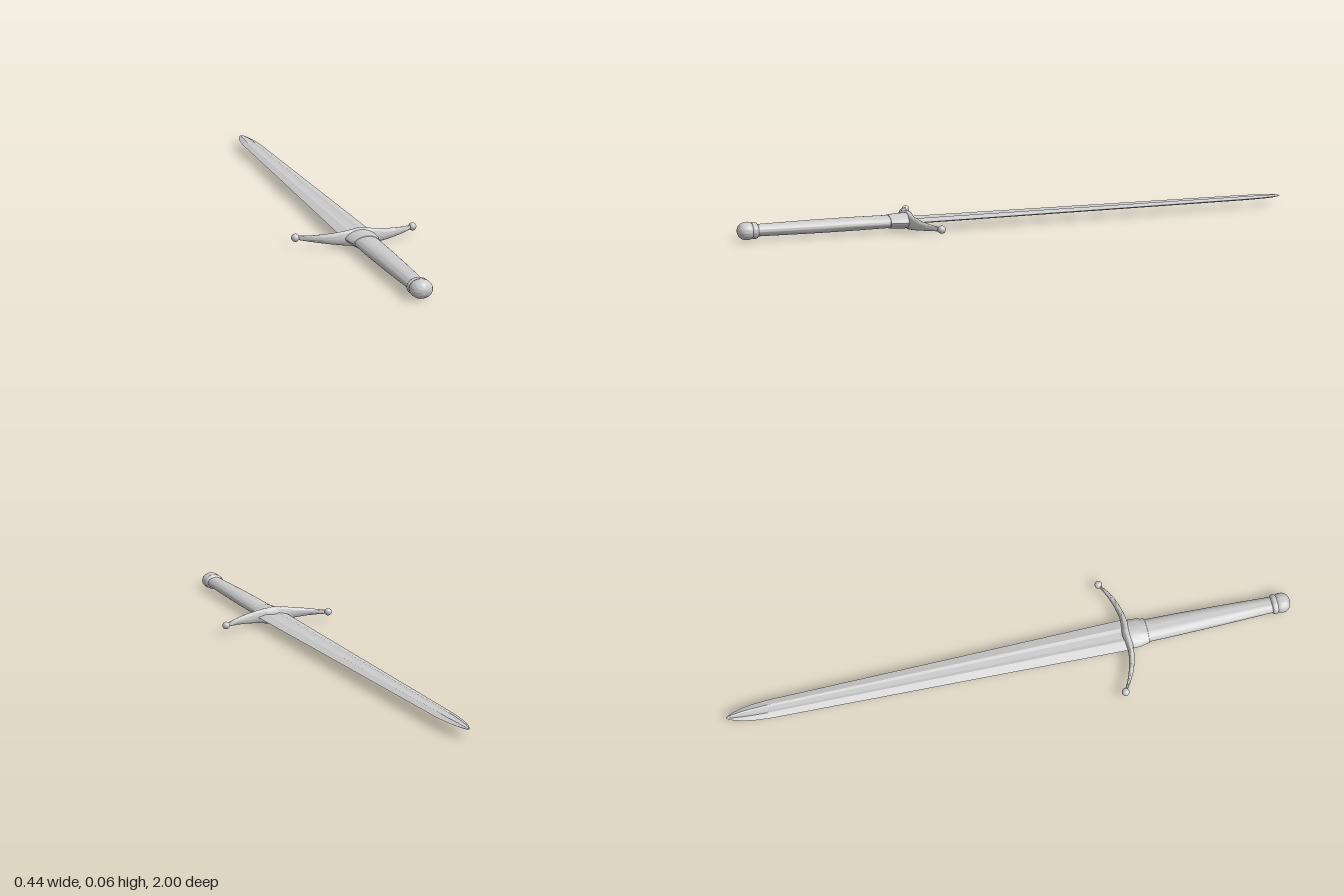
import * as THREE from 'three';
import { toCreasedNormals } from 'three/addons/utils/BufferGeometryUtils.js';

const MID = 0.033; // height of the sword's centre plane
const material = new THREE.MeshStandardMaterial({ color: 0xcccccc });

// Joins rings of points into a capped skin; rings turn counter-clockwise about the loft direction
function loft(rings, crease = 0.6) {
  const n = rings[0].length;
  const positions = [];
  const tri = (...pts) => pts.forEach((p) => positions.push(p.x, p.y, p.z));
  for (let i = 0; i < rings.length - 1; i++) {
    for (let j = 0; j < n; j++) {
      const k = (j + 1) % n;
      const [a, b, c, d] = [rings[i][j], rings[i][k], rings[i + 1][k], rings[i + 1][j]];
      tri(a, b, c);
      tri(a, c, d);
    }
  }
  const cap = (ring, flip) => {
    const centre = ring.reduce((s, p) => s.add(p), new THREE.Vector3()).divideScalar(n);
    ring.forEach((p, j) => {
      const q = ring[(j + 1) % n];
      if (flip) tri(centre, q, p);
      else tri(centre, p, q);
    });
  };
  cap(rings[0], true);
  cap(rings[rings.length - 1], false);
  const geometry = new THREE.BufferGeometry();
  geometry.setAttribute('position', new THREE.Float32BufferAttribute(positions, 3));
  return toCreasedNormals(geometry, crease);
}

// Lofts a unit outline along z; each section is [z, half width, half height]
const loftZ = (outline, sections, crease) => loft(
  sections.map(([z, w, h]) => outline.map(([x, y]) => new THREE.Vector3(x * w, MID + y * h, z))),
  crease,
);

// Unit oval; a positive point value sharpens its left and right sides
function oval(count, point = 0) {
  return Array.from({ length: count }, (_, i) => {
    const t = (i / count) * Math.PI * 2;
    return [Math.cos(t), Math.sin(t) * Math.abs(Math.sin(t)) ** point];
  });
}

export function createModel() {
  const sword = new THREE.Group();
  sword.name = 'sword';
  const add = (name, geometry) => {
    const mesh = new THREE.Mesh(geometry, material);
    mesh.name = name;
    sword.add(mesh);
    return mesh;
  };

  // Double-edged blade with a shallow central groove
  const upper = [[1, 0], [0.42, 1], [0.2, 0.7], [-0.2, 0.7], [-0.42, 1]];
  const bladeOutline = [...upper, ...upper.map(([x, y]) => [-x, -y])];
  add('blade', loftZ(bladeOutline, [
    [-1, 0.001, 0.001], [-0.99, 0.008, 0.003], [-0.97, 0.016, 0.005], [-0.94, 0.024, 0.006],
    [-0.9, 0.03, 0.0065], [-0.85, 0.034, 0.007], [-0.2, 0.046, 0.008], [0.42, 0.058, 0.009],
  ], 0.2));

  // Crossguard sweeping toward the blade, with a small peak in the middle
  const guardRings = [];
  for (let i = -24; i <= 24; i++) {
    const x = (i / 24) * 0.2;
    const a = Math.abs(x) / 0.2;
    const height = 0.007 + 0.025 * (1 - a) ** 1.15;
    const back = 0.427 - 0.062 * a ** 2.6;
    const peak = 0.012 * Math.max(0, 1 - a / 0.3);
    const front = 0.407 - 0.05 * a ** 2.4 - peak;
    const z = (front + back) / 2;
    const depth = Math.max((back - front) / 2, 0.005);
    guardRings.push(oval(20).map(([u, v]) => new THREE.Vector3(x, MID + u * height, z + v * depth)));
  }
  add('crossguard', loft(guardRings, 0.8));

  // Ball at each end of the crossguard
  for (const side of [-1, 1]) {
    const ball = add(side > 0 ? 'leftGuardBall' : 'rightGuardBall', new THREE.SphereGeometry(0.0135, 20, 14));
    ball.position.set(side * 0.204, MID, 0.36);
  }

  // Stepped collar with pointed sides
  add('collar', loftZ(oval(32, 0.35), [
    [0.405, 0.054, 0.026], [0.43, 0.054, 0.026], [0.452, 0.053, 0.025],
    [0.472, 0.048, 0.024], [0.484, 0.046, 0.023], [0.486, 0.042, 0.02],
  ]));

  // Tapering oval grip
  add('grip', loftZ(oval(32), [
    [0.47, 0.042, 0.021], [0.6, 0.04, 0.0225], [0.75, 0.036, 0.0225], [0.945, 0.029, 0.02],
  ]));

  // Ring below the pommel
  add('pommelRing', loftZ(oval(32), [
    [0.932, 0.028, 0.02], [0.935, 0.033, 0.026], [0.941, 0.036, 0.028],
    [0.949, 0.035, 0.028], [0.953, 0.031, 0.024],
  ], 0.9));

  // Domed pommel
  add('pommel', loftZ(oval(32), [
    [0.95, 0.031, 0.024], [0.956, 0.034, 0.028], [0.965, 0.036, 0.03], [0.978, 0.035, 0.029],
    [0.988, 0.03, 0.025], [0.995, 0.022, 0.018], [0.999, 0.012, 0.01], [1, 0.003, 0.003],
  ], 0.9));

  return sword;
}
